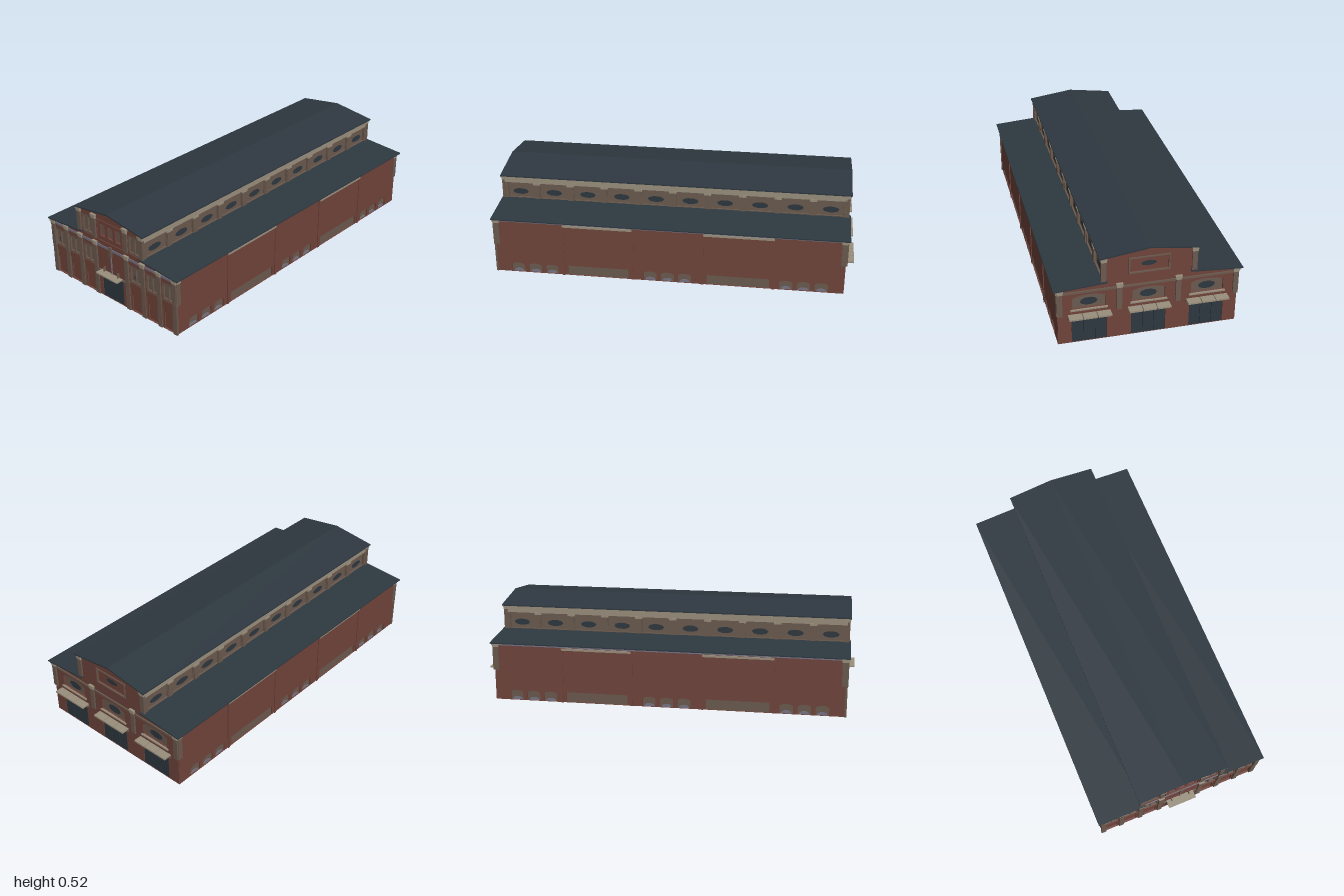
import * as THREE from 'three';

const paint = (name, color) => Object.assign(new THREE.MeshStandardMaterial({ color }), { name });

export function createModel() {
  const brick = paint('brick', 0x70443b);
  const stone = paint('brown stone', 0x6b5a4e);
  const cream = paint('cream stone', 0x9a8f7d);
  const slate = paint('slate', 0x2e3840);
  const mauve = paint('mauve trim', 0x777586);

  const model = new THREE.Group();
  model.name = 'marketHall';
  const group = (name, turn = 0) => {
    const g = new THREE.Group();
    g.name = name;
    g.rotation.y = turn;
    model.add(g);
    return g;
  };
  const add = (parent, name, geometry, material) => {
    const m = new THREE.Mesh(geometry, material);
    m.name = name;
    parent.add(m);
    return m;
  };
  // Box given by its limits
  const block = (parent, name, mat, x0, x1, y0, y1, z0, z1) => {
    const m = add(parent, name, new THREE.BoxGeometry(x1 - x0, y1 - y0, z1 - z0), mat);
    m.position.set((x0 + x1) / 2, (y0 + y1) / 2, (z0 + z1) / 2);
    return m;
  };
  const outline = (pts) => new THREE.Shape(pts.map(([x, y]) => new THREE.Vector2(x, y)));
  // Opening with an elliptical arched head of the given rise
  const arch = (x, y0, y1, w, rise = w / 2) => {
    const s = new THREE.Shape();
    s.moveTo(x - w / 2, y0);
    s.lineTo(x + w / 2, y0);
    s.lineTo(x + w / 2, y1 - rise);
    s.absellipse(x, y1 - rise, w / 2, rise, 0, Math.PI, false, 0);
    s.lineTo(x - w / 2, y0);
    return s;
  };
  const rect = (x0, x1, y0, y1) => outline([[x0, y0], [x1, y0], [x1, y1], [x0, y1]]);
  const extrude = (parent, name, shape, holes, mat, z0, z1) => {
    shape.holes = holes;
    const g = new THREE.ExtrudeGeometry(shape, { depth: z1 - z0, bevelEnabled: false, curveSegments: 8 });
    g.translate(0, 0, z0);
    return add(parent, name, g, mat);
  };
  // Glass patch of irregular outline
  const glass = (parent, x, y, w, h, z) => {
    const m = add(parent, 'glass', new THREE.CircleGeometry(0.5, 10), slate);
    m.scale.set(w, h, 1);
    m.position.set(x, y, z);
  };
  // Stepped pilaster with a two-stage capital
  const pilaster = (parent, x, y0, y1, w, z) => {
    block(parent, 'pilasterShaft', stone, x - w / 2, x + w / 2, y0, y1 - 0.024, z - 0.005, z + 0.009);
    block(parent, 'capitalNeck', cream, x - w * 0.55, x + w * 0.55, y1 - 0.024, y1 - 0.012, z - 0.005, z + 0.011);
    block(parent, 'capital', cream, x - w * 0.65, x + w * 0.65, y1 - 0.012, y1, z - 0.005, z + 0.014);
  };
  const gable = () => outline([
    [-0.465, 0], [0.465, 0], [0.465, 0.323], [0.238, 0.342], [0.238, 0.479],
    [0, 0.514], [-0.238, 0.479], [-0.238, 0.342], [-0.465, 0.323]]);
  const Z = 0.955, BACK = 0.938;

  // Front facade: arched doorways below, paired arched windows above
  const front = group('frontFacade');
  const holes = [rect(-0.08, 0.08, 0.001, 0.152)];
  const bays = [-0.41, -0.295, -0.175, 0.175, 0.295, 0.41];
  for (const x of bays) {
    holes.push(rect(x - 0.042, x + 0.042, 0.001, 0.14), rect(x - 0.042, x + 0.042, 0.17, 0.276));
    const surround = arch(x, 0.0015, 0.118, 0.068, 0.03);
    extrude(front, 'doorSurround', rect(x - 0.042, x + 0.042, 0.001, 0.14), [surround], brick, BACK, Z - 0.004);
    block(front, 'archedDoor', brick, x - 0.038, x + 0.038, 0.001, 0.125, BACK, BACK + 0.006);
  }
  const windowPair = (x, y0, y1) => {
    extrude(front, 'windowFrame', rect(x - 0.042, x + 0.042, y0 - 0.01, y1 + 0.006),
      [-0.019, 0.019].map((d) => arch(x + d, y0, y1, 0.031)), stone, BACK, Z - 0.003);
    block(front, 'windowPane', stone, x - 0.04, x + 0.04, y0 - 0.006, y1 + 0.002, BACK, BACK + 0.005);
  };
  bays.forEach((x) => windowPair(x, 0.18, 0.27));
  for (const x of [-0.41, 0.175]) glass(front, x - 0.008, 0.205, 0.024, 0.032, BACK + 0.0065);
  for (const x of [-0.175, 0.175]) {
    holes.push(rect(x - 0.042, x + 0.042, 0.342, 0.452));
    windowPair(x, 0.352, 0.446);
  }
  // Three central upper windows in a framed panel
  for (const x of [-0.057, 0, 0.057]) {
    holes.push(arch(x, 0.368, 0.44, 0.038, 0.01));
    block(front, 'upperWindow', stone, x - 0.023, x + 0.023, 0.362, 0.444, BACK, BACK + 0.006);
  }
  extrude(front, 'upperPanelFrame', rect(-0.096, 0.096, 0.34, 0.462),
    [rect(-0.092, 0.092, 0.344, 0.458)], brick, Z - 0.002, Z + 0.005);
  extrude(front, 'frontWall', gable(), holes, brick, BACK - 0.002, Z);
  block(front, 'mauveBand', mauve, -0.455, 0.455, 0.301, 0.314, Z - 0.002, Z + 0.004);
  for (const s of [-1, 1]) {
    for (const x of [0.457, 0.35, 0.235, 0.118]) {
      pilaster(front, s * x, 0.17, 0.324, 0.026, Z);
      block(front, 'pilasterBase', stone, s * x - 0.014, s * x + 0.014, 0, 0.17, Z - 0.005, Z + 0.006);
    }
    for (const x of [0.233, 0.117]) pilaster(front, s * x, 0.342, 0.481, 0.027, Z);
    block(front, 'lamp', stone, s * 0.052 - 0.002, s * 0.052 + 0.002, 0.163, 0.19, Z, Z + 0.015);
  }
  // Main entrance
  block(front, 'mainDoor', slate, -0.08, 0.08, 0.001, 0.152, BACK, Z - 0.004);
  block(front, 'canopy', cream, -0.08, 0.08, 0.157, 0.164, Z, 1);
  block(front, 'doorLintel', stone, -0.098, 0.098, 0.152, 0.162, Z - 0.002, Z + 0.008);
  block(front, 'centrePost', stone, -0.009, 0.009, 0.265, 0.324, Z, Z + 0.01);
  block(front, 'centreRod', mauve, -0.003, 0.003, 0.164, 0.265, Z, Z + 0.005);

  // Back facade: three loading doors with awnings
  const back = group('backFacade', Math.PI);
  const backHoles = [rect(-0.1, 0.1, 0.375, 0.455)];
  for (const x of [-0.305, 0, 0.305]) {
    backHoles.push(rect(x - 0.09, x + 0.09, 0.001, 0.15), arch(x, 0.2, 0.28, 0.17, 0.02));
    for (const d of [-0.06, 0, 0.06]) {
      block(back, 'loadingDoor', slate, x + d - 0.029, x + d + 0.029, 0.001, 0.15, BACK, Z - 0.003);
      block(back, 'awning', cream, x + d * 1.22 - 0.035, x + d * 1.22 + 0.035, 0.162, 0.171, Z, 1);
    }
    block(back, 'doorBacking', slate, x - 0.09, x + 0.09, 0.001, 0.15, BACK, BACK + 0.006);
    block(back, 'doorLintel', stone, x - 0.11, x + 0.11, 0.15, 0.164, Z - 0.002, Z + 0.008);
    block(back, 'windowPane', stone, x - 0.088, x + 0.088, 0.196, 0.284, BACK, BACK + 0.007);
    glass(back, x, 0.235, 0.09, 0.045, BACK + 0.008);
    block(back, 'windowSill', cream, x - 0.095, x + 0.095, 0.192, 0.2, Z - 0.002, Z + 0.008);
  }
  extrude(back, 'backWall', gable(), backHoles, brick, BACK - 0.002, Z);
  block(back, 'signPanel', brick, -0.102, 0.102, 0.373, 0.457, BACK, BACK + 0.009);
  extrude(back, 'signFrame', rect(-0.106, 0.106, 0.369, 0.461),
    [rect(-0.099, 0.099, 0.376, 0.454)], stone, Z - 0.002, Z + 0.005);
  glass(back, 0, 0.415, 0.08, 0.03, BACK + 0.0105);
  block(back, 'cornice', stone, -0.46, 0.46, 0.295, 0.306, Z - 0.002, Z + 0.007);
  for (const s of [-1, 1]) {
    for (const x of [0.455, 0.152]) pilaster(back, s * x, 0.17, 0.324, 0.027, Z);
    pilaster(back, s * 0.232, 0.342, 0.481, 0.027, Z);
  }

  // Long sides: low windows, panels and clerestory, repeated on both flanks
  for (const s of [-1, 1]) {
    const side = group(s > 0 ? 'leftSide' : 'rightSide', s * Math.PI / 2);
    const sideHoles = [];
    for (const c of [-0.74, 0, 0.74]) {
      for (const d of [-0.095, 0, 0.095]) {
        sideHoles.push(arch(c + d, 0.001, 0.056, 0.072, 0.015));
        block(side, 'lowWindow', stone, c + d - 0.038, c + d + 0.038, 0.001, 0.058, 0.451, 0.457);
        extrude(side, 'lowWindowSill', arch(c + d, 0.001, 0.018, 0.055, 0.016), [], mauve, 0.456, 0.459);
      }
    }
    for (const c of [-0.385, 0.385]) {
      sideHoles.push(rect(c - 0.17, c + 0.17, 0.001, 0.058));
      block(side, 'lowPanel', stone, c - 0.172, c + 0.172, 0.001, 0.06, 0.451, 0.458);
      block(side, 'creamCourse', cream, c - 0.192, c + 0.192, 0.296, 0.308, 0.464, 0.472);
    }
    extrude(side, 'sideWall', rect(-0.95, 0.95, 0, 0.322), sideHoles, brick, 0.45, 0.466);
    for (const x of [-0.577, -0.192, 0.192, 0.577]) {
      block(side, 'sidePier', brick, x - 0.007, x + 0.007, 0, 0.315, 0.445, 0.471);
    }
    for (const x of [-0.943, 0.943]) pilaster(side, x, 0.17, 0.324, 0.027, 0.463);
    block(side, 'eavesTrim', mauve, -0.955, 0.955, 0.312, 0.322, 0.45, 0.474);

    // Clerestory of ten bays
    const lights = [];
    for (let i = 0; i < 10; i++) {
      const x = -0.864 + i * 0.192;
      lights.push(arch(x, 0.35, 0.436, 0.156, 0.014));
      glass(side, x, 0.383, 0.09, 0.036, 0.2305);
      if (i) {
        block(side, 'clerestoryPier', stone, x - 0.11, x - 0.082, 0.335, 0.436, 0.232, 0.243);
        block(side, 'pierCap', cream, x - 0.116, x - 0.076, 0.43, 0.442, 0.232, 0.246);
      }
    }
    extrude(side, 'clerestoryWall', rect(-0.95, 0.95, 0.335, 0.445), lights, stone, 0.226, 0.238);
    block(side, 'clerestoryPane', stone, -0.945, 0.945, 0.34, 0.442, 0.223, 0.229);
    block(side, 'clerestoryFrieze', cream, -0.952, 0.952, 0.44, 0.48, 0.224, 0.243);
    for (const x of [-0.943, 0.943]) pilaster(side, x, 0.34, 0.481, 0.025, 0.234);
  }

  // Roofs
  const roofs = group('roofs');
  extrude(roofs, 'mainRoof', outline([[-0.255, 0.478], [0, 0.513], [0.255, 0.478],
    [0.255, 0.485], [0, 0.52], [-0.255, 0.485]]), [], slate, -0.972, 0.97);
  for (const s of [-1, 1]) {
    extrude(roofs, 'aisleRoof', outline([[s * 0.215, 0.342], [s * 0.487, 0.322],
      [s * 0.487, 0.328], [s * 0.215, 0.348]]), [], slate, -0.972, 0.97);
  }
  return model;
}
